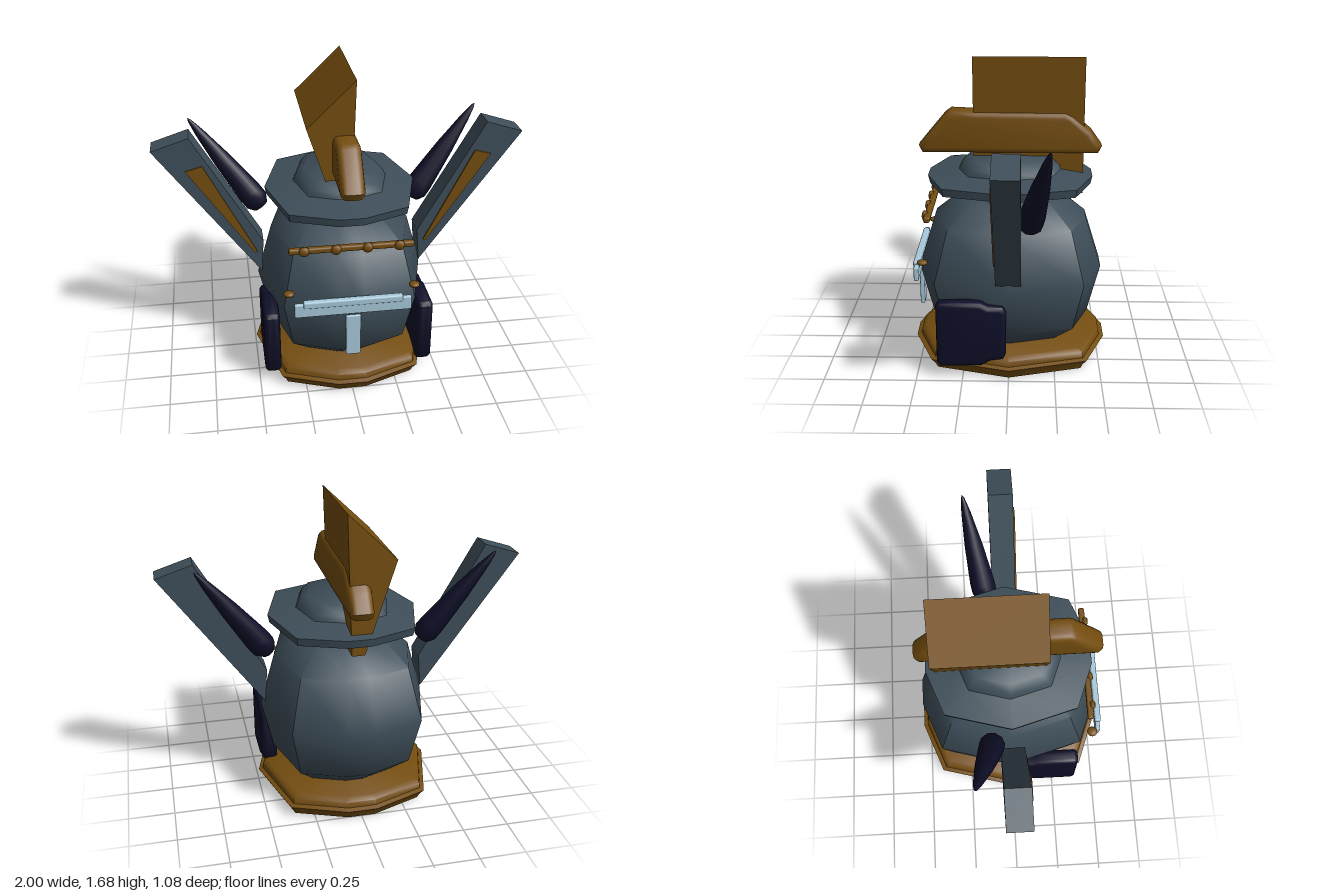
import * as THREE from 'three';
import { toCreasedNormals } from 'three/addons/utils/BufferGeometryUtils.js';
import { RoundedBoxGeometry } from 'three/addons/geometries/RoundedBoxGeometry.js';

const paint = (name, color) => {
  const m = new THREE.MeshStandardMaterial({ color });
  m.name = name;
  return m;
};

// Uneven ten-sided plan (x, z) shared by the pot, lid and base
const half = [[0.15, 1], [0.7, 0.79], [0.92, 0], [0.7, -0.79], [0.15, -1]];
const plan = [...half, ...half.map(([x, z]) => [-x, z]).reverse()];

// Lathe whose round section is replaced by the plan
function turned(profile) {
  const geo = new THREE.LatheGeometry(profile.map(([r, y]) => new THREE.Vector2(r, y)), plan.length);
  const pos = geo.attributes.position;
  for (let i = 0; i < pos.count; i++) {
    const [x, z] = plan[Math.floor(i / profile.length) % plan.length];
    const r = profile[i % profile.length][0];
    pos.setX(i, x * r);
    pos.setZ(i, z * r);
  }
  return toCreasedNormals(geo, 0.85);
}

// Extruded outline, centred on its depth, with an optional rounded edge
function slab(points, depth, bevel = 0) {
  const shape = new THREE.Shape(points.map(([x, y]) => new THREE.Vector2(x, y)));
  const geo = new THREE.ExtrudeGeometry(shape, {
    depth: depth - 2 * bevel, bevelEnabled: bevel > 0, bevelSize: bevel,
    bevelThickness: bevel, bevelOffset: -bevel, bevelSegments: 3,
  });
  geo.translate(0, 0, -(depth - 2 * bevel) / 2);
  return bevel ? toCreasedNormals(geo, 0.8) : geo;
}

export function createModel() {
  const slate = paint('slate', 0x3e4e59);
  const bronze = paint('bronze', 0x744d0f);
  const navy = paint('navy', 0x0e0e28);
  const ice = paint('ice blue', 0xa6c8da);

  const model = new THREE.Group();
  model.name = 'pot';
  const add = (name, geo, mat, x = 0, y = 0, z = 0) => {
    const mesh = new THREE.Mesh(geo, mat);
    mesh.name = name;
    mesh.position.set(x, y, z);
    model.add(mesh);
    return mesh;
  };

  // Pot, base and lid
  add('base', turned([[0, 0], [0.5, 0], [0.515, 0.03], [0.54, 0.06], [0.515, 0.07],
    [0.51, 0.1], [0.48, 0.12], [0, 0.12]]), bronze);
  add('body', turned([[0, 0.11], [0.32, 0.12], [0.44, 0.22], [0.51, 0.5], [0.42, 0.79],
    [0.25, 0.93], [0, 0.93]]), slate);
  add('lid', turned([[0, 0.96], [0.32, 0.96], [0.44, 0.985], [0.45, 1.03], [0.28, 1.06],
    [0.265, 1.09], [0.22, 1.135], [0, 1.135]]), slate);

  // Tall slanted crest through the lid
  add('crest', slab([[-0.035, 0.92], [0.035, 0.92], [0.06, 1.68], [-0.2, 1.43]], 0.6), bronze, 0, 0, -0.1);

  // Long lid handle, outline in (z, y)
  const handle = slab([[-0.48, 1.15], [0.48, 1.15], [0.5, 1.19], [0.43, 1.275], [0.35, 1.37], [0.32, 1.39],
    [0.2, 1.385], [-0.3, 1.38], [-0.34, 1.36], [-0.44, 1.275], [-0.5, 1.19]], 0.13, 0.035);
  handle.rotateY(-Math.PI / 2);
  add('lidHandle', handle, bronze);

  // Side pads, outline in (z, y)
  const pad = slab([[0.37, 0.065], [0.39, 0.09], [0.39, 0.42], [0.37, 0.44], [0.15, 0.44], [0.11, 0.42],
    [0.03, 0.42], [0.015, 0.39], [0.015, 0.14], [0.03, 0.11], [0.1, 0.1], [0.15, 0.07]], 0.09, 0.025);
  pad.rotateY(-Math.PI / 2);

  // Tapered horn growing along +y from a rounded root
  const horn = new THREE.LatheGeometry([[0, -0.05], [0.045, -0.04], [0.07, 0], [0.07, 0.06], [0.05, 0.3],
    [0.025, 0.5], [0.01, 0.58], [0, 0.6]].map(([r, y]) => new THREE.Vector2(r, y)), 10);
  const hornAxis = new THREE.Vector3();
  const up = new THREE.Vector3(0, 1, 0);

  for (const s of [1, -1]) {
    const side = s > 0 ? 'left' : 'right';
    const mirror = pts => pts.map(([x, y]) => [x * s, y]);
    add(side + 'Wing', slab(mirror([[0.45, 0.54], [1, 1.3], [0.8, 1.365], [0.435, 0.73]]), 0.135), slate, 0, 0, 0.003);
    add(side + 'WingStripe', slab(mirror([[0.485, 0.665], [0.83, 1.18], [0.74, 1.205], [0.47, 0.67]]), 0.009),
      bronze, 0, 0, 0.0755);
    add(side + 'Pad', pad, navy, s * 0.425);
    const h = add(side + 'Horn', horn, navy, s * 0.455, 0.895, -0.11);
    hornAxis.set(s * 0.34, 0.465, -0.09).normalize();
    h.quaternion.setFromUnitVectors(up, hornAxis);
    const stud = add(side + 'Stud', new THREE.SphereGeometry(0.03, 10, 6), bronze, s * 0.335, 0.622, 0.465);
    stud.scale.y = 0.5;
  }

  // Beaded rail on the front
  add('rail', new RoundedBoxGeometry(0.66, 0.032, 0.034, 2, 0.01), bronze, 0, 0.86, 0.437);
  for (const x of [-0.25, -0.083, 0.083, 0.25]) {
    const bead = add('railBead', new THREE.SphereGeometry(0.03, 6, 4), bronze, x, 0.86, 0.452);
    bead.scale.z = 0.65;
  }

  // Pale front bar with lip and hanging stem
  add('frontBar', new RoundedBoxGeometry(0.625, 0.08, 0.026, 2, 0.008), ice, 0, 0.54, 0.505);
  add('frontBarLip', new RoundedBoxGeometry(0.53, 0.04, 0.036, 2, 0.01), ice, 0, 0.575, 0.507);
  add('frontStem', new RoundedBoxGeometry(0.08, 0.25, 0.026, 2, 0.008), ice, 0, 0.365, 0.507);

  return model;
}
